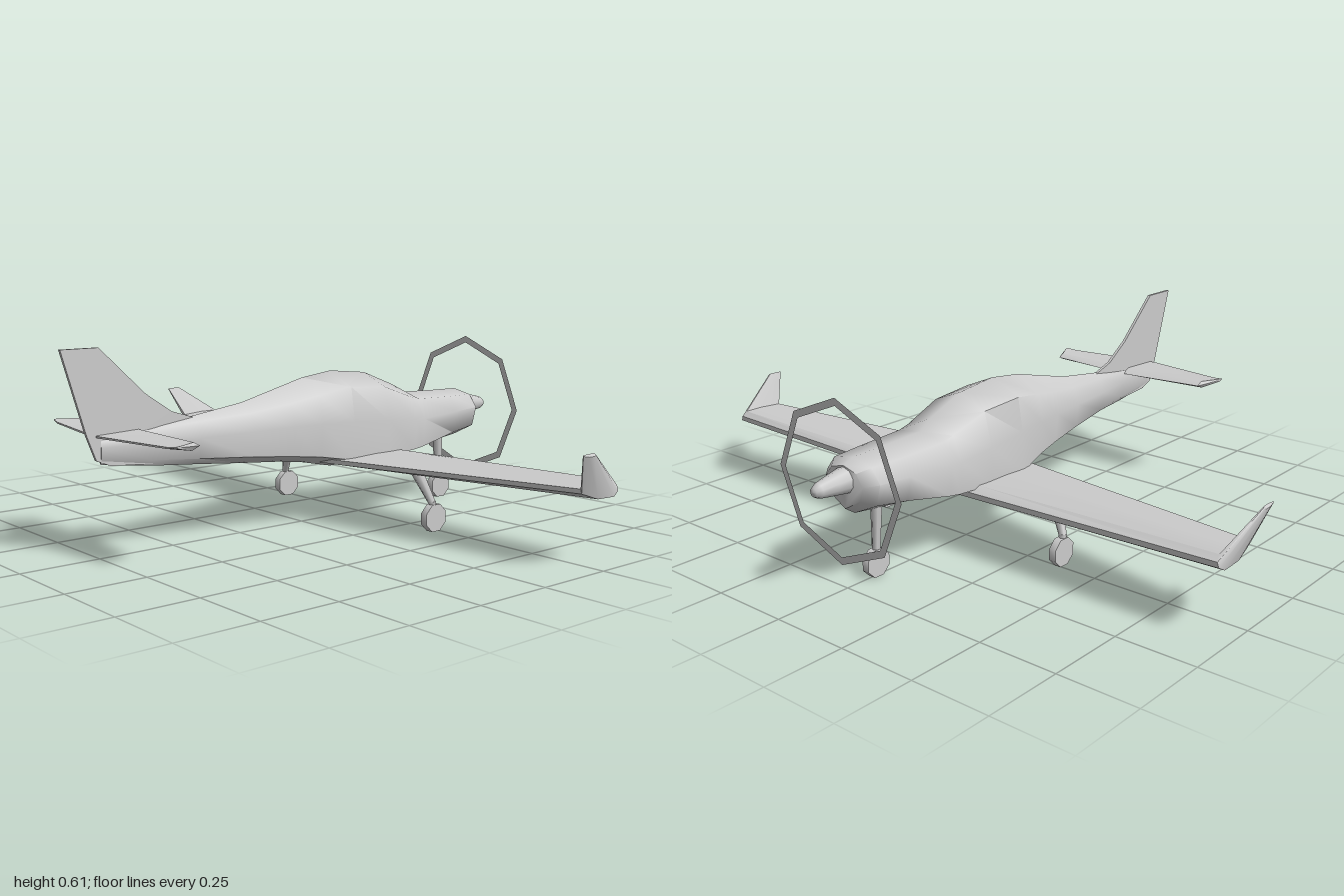
import * as THREE from 'three';
import { toCreasedNormals } from 'three/addons/utils/BufferGeometryUtils.js';

const material = new THREE.MeshStandardMaterial({ color: 0xcccccc });
const sheet = new THREE.MeshStandardMaterial({ color: 0xcccccc, side: THREE.DoubleSide });

// Closed skin over equal-length rings of [x, y, z], with fan caps
function loft(rings, crease) {
  const n = rings[0].length, index = [];
  for (let i = 0; i < rings.length - 1; i++) {
    for (let j = 0; j < n; j++) {
      const a = i * n + j, b = i * n + (j + 1) % n;
      index.push(a, b, b + n, a, b + n, a + n);
    }
  }
  const last = (rings.length - 1) * n;
  for (let j = 1; j < n - 1; j++) {
    index.push(0, j + 1, j, last, last + j, last + j + 1);
  }
  const g = new THREE.BufferGeometry();
  g.setAttribute('position', new THREE.Float32BufferAttribute(rings.flat(2), 3));
  g.setIndex(index);
  return toCreasedNormals(g, crease);
}

// Full-span surface from right tip to left tip; stations run from the middle outward
function span(stations, section, crease) {
  const ring = (s, side) => section.map(([c, t]) => [
    side * (s.x + (s.lean || 0) * (1 - 2 * t)),
    s.bottom + (s.top - s.bottom) * t,
    s.lead + (s.trail - s.lead) * c,
  ]);
  const right = stations.map((s) => ring(s, -1)).reverse();
  return loft([...right, ...stations.map((s) => ring(s, 1))], crease);
}

// Tapered rod between two points
function rod(from, to, rTop, rBottom, sides) {
  const a = new THREE.Vector3(...from), b = new THREE.Vector3(...to);
  const dir = a.clone().sub(b);
  const g = new THREE.CylinderGeometry(rTop, rBottom, dir.length(), sides);
  g.applyQuaternion(new THREE.Quaternion().setFromUnitVectors(new THREE.Vector3(0, 1, 0), dir.normalize()));
  const mid = a.add(b).multiplyScalar(0.5);
  return g.translate(mid.x, mid.y, mid.z);
}

export function createModel() {
  const model = new THREE.Group();
  const add = (name, geometry, mat = material) => {
    const mesh = new THREE.Mesh(geometry, mat);
    mesh.name = name;
    model.add(mesh);
    return mesh;
  };

  // Fuselage: z, top, shoulder (w, y), side (w, y), chine (w, y), bottom
  const hull = [
    [-0.745, 0.368, 0.05, 0.355, 0.075, 0.32, 0.06, 0.275, 0.24],
    [-0.71, 0.383, 0.075, 0.368, 0.107, 0.325, 0.09, 0.26, 0.217],
    [-0.6, 0.385, 0.085, 0.37, 0.115, 0.32, 0.1, 0.245, 0.203],
    [-0.44, 0.39, 0.09, 0.375, 0.123, 0.31, 0.115, 0.215, 0.183],
    [-0.4, 0.42, 0.09, 0.385, 0.125, 0.31, 0.118, 0.21, 0.18],
    [-0.27, 0.47, 0.1, 0.43, 0.127, 0.32, 0.128, 0.205, 0.172],
    [-0.12, 0.485, 0.105, 0.44, 0.123, 0.33, 0.128, 0.205, 0.17],
    [0, 0.47, 0.088, 0.42, 0.105, 0.33, 0.1, 0.225, 0.195],
    [0.1, 0.445, 0.068, 0.4, 0.088, 0.33, 0.08, 0.235, 0.208],
    [0.24, 0.41, 0.046, 0.38, 0.065, 0.325, 0.058, 0.247, 0.22],
    [0.42, 0.385, 0.024, 0.368, 0.037, 0.32, 0.032, 0.258, 0.237],
    [0.57, 0.365, 0.01, 0.355, 0.014, 0.32, 0.013, 0.268, 0.25],
    [0.74, 0.345, 0.005, 0.34, 0.007, 0.32, 0.006, 0.285, 0.272],
  ];
  add('fuselage', loft(hull.map(([z, top, w1, y1, w2, y2, w3, y3, bottom]) => [
    [0, bottom, z], [w3, y3, z], [w2, y2, z], [w1, y1, z],
    [0, top, z], [-w1, y1, z], [-w2, y2, z], [-w3, y3, z],
  ]), 1.0));

  // Spinner: rounded cone on the nose
  const spinner = new THREE.LatheGeometry(
    [[0.04, 0], [0.032, 0.05], [0.023, 0.1], [0.014, 0.117], [0, 0.12]].map(([r, y]) => new THREE.Vector2(r, y)), 10);
  spinner.rotateX(-Math.PI / 2 - 0.04);
  add('spinner', spinner).position.set(0, 0.325, -0.738);

  // Propeller disc outline: flat octagonal hoop
  add('propellerArc', new THREE.RingGeometry(0.222, 0.245, 8), sheet).position.set(0, 0.322, -0.766);

  // Wing with upswept tips; section is (chord, height)
  const wingSection = [[0, 0.65], [0.1, 1], [0.5, 1], [1, 0.85], [1, 0.55], [0.6, 0.05], [0.15, 0], [0, 0.3]];
  add('wing', span([
    { x: 0, lead: -0.355, trail: -0.045, bottom: 0.166, top: 0.215 },
    { x: 0.12, lead: -0.355, trail: -0.058, bottom: 0.17, top: 0.217 },
    { x: 0.96, lead: -0.356, trail: -0.195, bottom: 0.193, top: 0.237, lean: 0.007 },
    { x: 0.997, lead: -0.2, trail: -0.147, bottom: 0.327, top: 0.335, lean: 0.003 },
  ], wingSection, 0.6));

  // Tailplane
  const tailSection = [[0, 0.5], [0.2, 1], [1, 0.8], [1, 0.6], [0.25, 0]];
  add('tailplane', span([
    { x: 0, lead: 0.58, trail: 0.755, bottom: 0.335, top: 0.363 },
    { x: 0.03, lead: 0.581, trail: 0.755, bottom: 0.335, top: 0.363 },
    { x: 0.3, lead: 0.605, trail: 0.712, bottom: 0.34, top: 0.363 },
    { x: 0.335, lead: 0.69, trail: 0.705, bottom: 0.355, top: 0.364 },
  ], tailSection, 0.6));

  // Fin: side outline given as (z, y), extruded thin across x
  const outline = [[0.42, 0.38], [0.5, 0.405], [0.59, 0.465], [0.74, 0.605], [0.86, 0.605],
    [0.785, 0.36], [0.755, 0.285], [0.71, 0.266], [0.55, 0.255]];
  const fin = new THREE.ExtrudeGeometry(
    new THREE.Shape(outline.map(([z, y]) => new THREE.Vector2(-z, y))), { depth: 0.01, bevelEnabled: false });
  fin.translate(0, 0, -0.005).rotateY(Math.PI / 2);
  add('fin', fin);

  // Landing gear: eight-sided wheels on tapered legs
  const wheel = (name, x, z, r) => {
    const g = new THREE.CylinderGeometry(r, r, 0.024, 8).rotateY(Math.PI / 8).rotateZ(Math.PI / 2);
    add(name, toCreasedNormals(g, 0.9)).position.set(x, r * Math.cos(Math.PI / 8), z);
  };
  for (const [side, label] of [[1, 'left'], [-1, 'right']]) {
    add(label + 'MainLeg', rod([side * 0.32, 0.185, -0.205], [side * 0.366, 0.09, -0.228], 0.02, 0.012, 6));
    add(label + 'MainFork', rod([side * 0.366, 0.095, -0.228], [side * 0.366, 0.045, -0.235], 0.012, 0.01, 6));
    wheel(label + 'MainWheel', side * 0.366, -0.235, 0.046);
  }
  add('noseLeg', rod([0, 0.225, -0.628], [0, 0.06, -0.636], 0.018, 0.012, 6));
  wheel('noseWheel', 0, -0.637, 0.045);

  return model;
}
